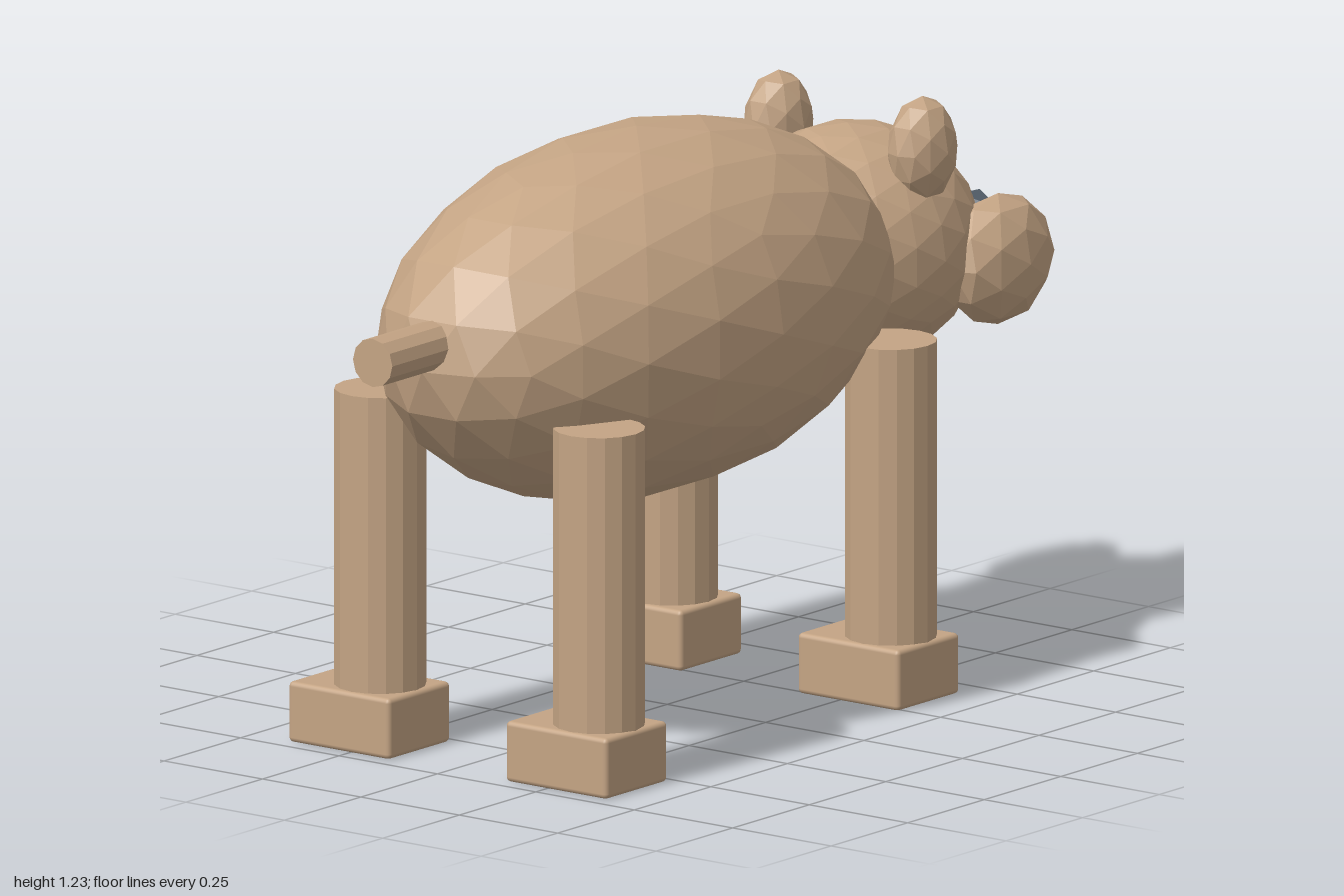
import * as THREE from 'three';
import { RoundedBoxGeometry } from 'three/addons/geometries/RoundedBoxGeometry.js';

const MID_Z = 0.03; // centre line of the body, which faces +x

export function createModel() {
  const fur = new THREE.MeshStandardMaterial({ color: 0xc4a484 });
  fur.name = 'tanFur';
  const dark = new THREE.MeshStandardMaterial({ color: 0x505b66 });
  dark.name = 'slateNose';

  const model = new THREE.Group();
  model.name = 'animal';

  const add = (name, geometry, material, x, y, z) => {
    const mesh = new THREE.Mesh(geometry, material);
    mesh.name = name;
    mesh.position.set(x, y, z);
    model.add(mesh);
    return mesh;
  };

  // Flat normals, one per face
  const faceted = (geometry) => {
    const g = geometry.index ? geometry.toNonIndexed() : geometry;
    g.computeVertexNormals();
    return g;
  };

  // Faceted ellipsoid
  const blob = (name, detail, [rx, ry, rz], [x, y, z], material = fur) =>
    add(name, faceted(new THREE.IcosahedronGeometry(1, detail).scale(rx, ry, rz)), material, x, y, z);

  // Body, head, snout and nose
  blob('body', 3, [0.7, 0.375, 0.375], [-0.14, 0.85, MID_Z]);
  blob('head', 3, [0.3, 0.25, 0.25], [0.55, 0.85, MID_Z]);
  blob('snout', 1, [0.15, 0.1, 0.14], [0.79, 0.8, MID_Z]);
  blob('nose', 0, [0.058, 0.065, 0.081], [0.951, 0.825, MID_Z], dark);

  // Ears and cheeks, mirrored about the centre line
  for (const [label, side] of [['near', 1], ['far', -1]]) {
    blob(label + 'Ear', 1, [0.082, 0.11, 0.065], [0.56, 1.07, MID_Z + side * 0.183]);
    blob(label + 'Cheek', 1, [0.15, 0.135, 0.084], [0.765, 0.81, MID_Z + side * 0.215]);
  }

  // Legs with block feet
  for (const [end, x] of [['front', 0.335], ['back', -0.618]]) {
    for (const [label, side] of [['Near', 1], ['Far', -1]]) {
      add(end + label + 'Leg', faceted(new THREE.CylinderGeometry(0.093, 0.093, 0.635, 16)),
        fur, x, 0.4175, MID_Z + side * 0.278);
      add(end + label + 'Foot', new RoundedBoxGeometry(0.202, 0.125, 0.258, 2, 0.01),
        fur, x, 0.0625, side * 0.276);
    }
  }

  // Tail
  add('tail', faceted(new THREE.CylinderGeometry(0.05, 0.05, 0.24, 12).rotateZ(Math.PI / 2)),
    fur, -0.88, 0.9, MID_Z);

  return model;
}
